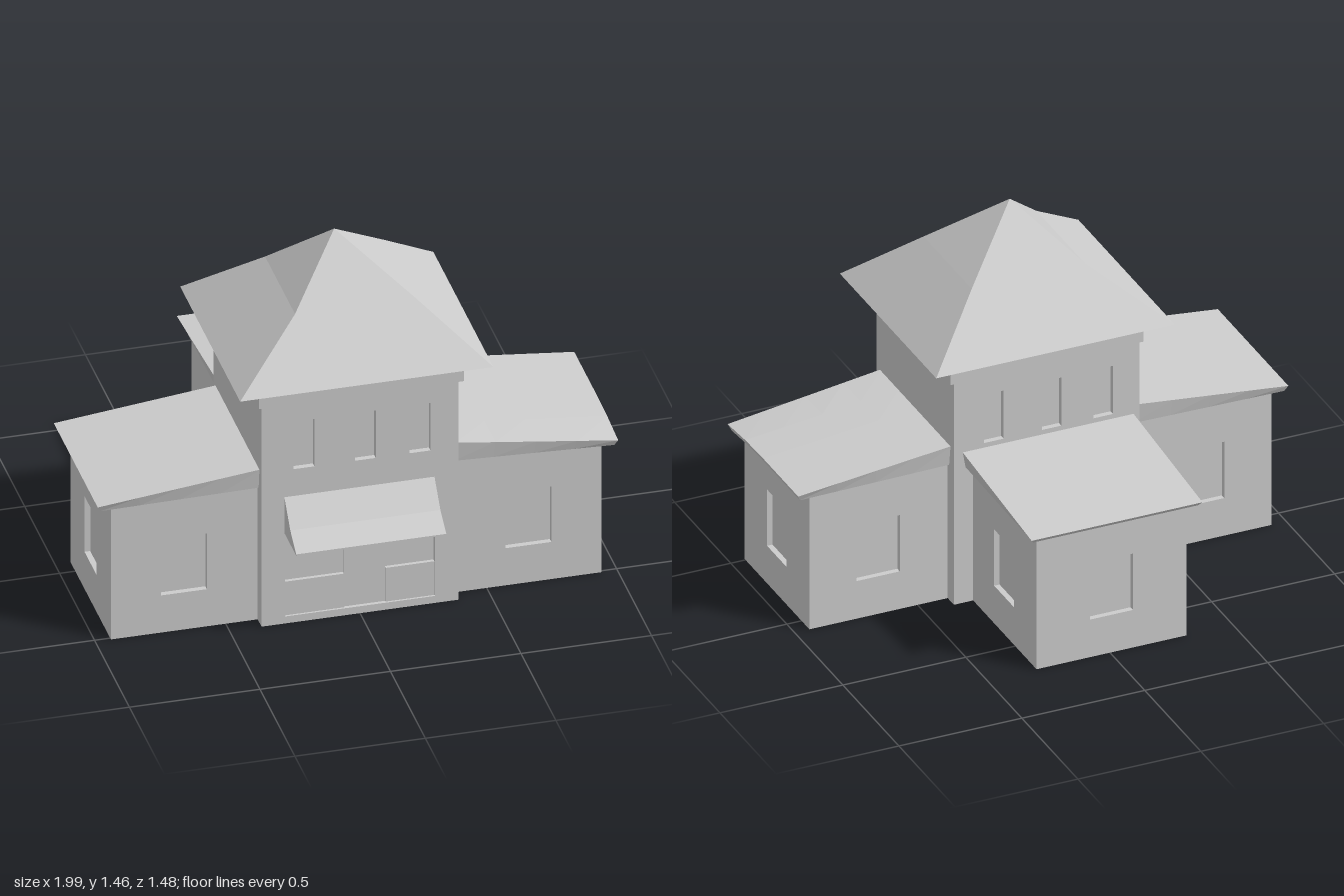
import * as THREE from 'three';

const grey = new THREE.MeshStandardMaterial({ color: 0xcccccc, flatShading: true, side: THREE.DoubleSide });

function add(parent, name, geometry, x = 0, y = 0, z = 0) {
  const mesh = new THREE.Mesh(geometry, grey);
  mesh.name = name;
  mesh.position.set(x, y, z);
  parent.add(mesh);
  return mesh;
}

// Box given by its low and high corners
function block(parent, name, [x0, y0, z0], [x1, y1, z1]) {
  return add(parent, name, new THREE.BoxGeometry(x1 - x0, y1 - y0, z1 - z0),
    (x0 + x1) / 2, (y0 + y1) / 2, (z0 + z1) / 2);
}

// Wall facing local +z, with openings [x, y, width, height] closed by recessed panes
function wall(parent, name, width, height, openings, x, z, turn) {
  const group = new THREE.Group();
  group.name = name;
  group.position.set(x, 0, z);
  group.rotation.y = turn;
  const shape = new THREE.Shape([[-1, 0], [1, 0], [1, 1], [-1, 1]]
    .map(([a, b]) => new THREE.Vector2(a * width / 2, b * height)));
  for (const [ox, oy, w, h] of openings) {
    shape.holes.push(new THREE.Path([[-1, 0], [-1, 1], [1, 1], [1, 0]]
      .map(([a, b]) => new THREE.Vector2(ox + a * w / 2, oy + b * h))));
    add(group, 'windowPane', new THREE.PlaneGeometry(w, h), ox, oy + h / 2, -0.022);
  }
  add(group, 'wallPanel', new THREE.ExtrudeGeometry(shape, { depth: 0.03, bevelEnabled: false }), 0, 0, -0.03);
  parent.add(group);
}

// Lean-to roof falling along local +x, its underside drawn in towards the walls
function leanRoof(parent, start, end, width, high, low, sag) {
  const length = end - start;
  const geo = new THREE.BoxGeometry(length, 1, width, 4, 1, 4);
  const p = geo.attributes.position;
  for (let i = 0; i < p.count; i++) {
    const s = p.getX(i) / length + 0.5;
    const t = p.getZ(i) / (width / 2);
    const droop = sag * s * Math.max(0, t) ** 2;
    const top = p.getY(i) > 0;
    const y = top ? high + (low - high) * s : 0.575 - 0.008 * s;
    const inset = top ? 0 : 0.012;
    p.setXYZ(i, start + s * (length - inset), y - droop, t * (width / 2 - inset));
  }
  geo.computeVertexNormals();
  return add(parent, 'wingRoof', geo);
}

// One-storey wing, built along local +x from the tower
function wing(name, { x, z, turn, start, end, width, windowAt, roofStart, roofEnd, roofWidth, high, low, sag }) {
  const group = new THREE.Group();
  group.name = name;
  group.position.set(x, 0, z);
  group.rotation.y = turn;
  const height = 0.575, length = end - start, mid = (start + end) / 2;
  const offset = windowAt - mid;
  wall(group, 'frontWall', length, height, [[offset, 0.16, 0.175, 0.24]], mid, width / 2, 0);
  wall(group, 'backWall', length, height, [[-offset, 0.16, 0.175, 0.24]], mid, -width / 2, Math.PI);
  wall(group, 'endWall', width, height, [[0, 0.16, 0.175, 0.24]], end, 0, Math.PI / 2);
  block(group, 'wingFloor', [start, 0, -width / 2], [end, 0.01, width / 2]);
  leanRoof(group, roofStart, roofEnd, roofWidth, high, low, sag);
  return group;
}

function tower() {
  const group = new THREE.Group();
  group.name = 'tower';
  const upper = [-0.215, 0.02, 0.23].map(x => [x, 0.66, 0.08, 0.205]);
  wall(group, 'frontWall', 0.755, 1, [...upper, [0, 0.03, 0.575, 0.36]], 0, 0.565, 0);
  wall(group, 'backWall', 0.755, 1, upper, 0, -0.125, Math.PI);
  for (const s of [-1, 1]) wall(group, 'sideWall', 0.69, 1, [], s * 0.3775, 0.22, s * Math.PI / 2);
  block(group, 'towerFloor', [-0.377, 0, -0.125], [0.377, 0.01, 0.565]);
  block(group, 'eavesBand', [-0.39, 0.945, -0.135], [0.395, 1.04, 0.575]);

  // Pyramid roof with a slight dent in its right slope
  const roof = new THREE.ConeGeometry(Math.SQRT1_2, 1, 4, 2).rotateY(Math.PI / 4).scale(0.97, 0.425, 0.86);
  const p = roof.attributes.position;
  for (let i = 0; i < p.count; i++) {
    if (Math.abs(p.getY(i)) < 0.01 && p.getX(i) < 0) p.setX(i, p.getX(i) + 0.025);
    if (p.getY(i) > 0.2) p.setX(i, p.getX(i) - 0.01);
  }
  roof.computeVertexNormals();
  add(group, 'towerRoof', roof, 0.003, 1.2475, 0.22);
  return group;
}

function entrance() {
  const group = new THREE.Group();
  group.name = 'entrance';
  block(group, 'door', [-0.06, 0.03, 0.54], [0.1, 0.39, 0.551]);
  block(group, 'lowerPanel', [-0.287, 0.03, 0.54], [-0.06, 0.175, 0.557]);
  block(group, 'lowerPanel', [0.1, 0.03, 0.54], [0.287, 0.175, 0.557]);
  // Awning profile, drawn with z along shape x
  const profile = new THREE.Shape([[0.56, 0.39], [0.735, 0.39], [0.735, 0.396], [0.65, 0.45], [0.56, 0.55]]
    .map(([z, y]) => new THREE.Vector2(z, y)));
  const awning = new THREE.ExtrudeGeometry(profile, { depth: 0.575, bevelEnabled: false }).rotateY(-Math.PI / 2);
  add(group, 'awning', awning, 0.285, 0, 0);
  return group;
}

export function createModel() {
  const model = new THREE.Group();
  model.name = 'house';
  model.add(tower(), entrance());
  const side = { x: 0, z: 0.22, start: 0.36, end: 0.94, width: 0.58, windowAt: 0.66,
    roofStart: 0.37, roofEnd: 0.997, roofWidth: 0.63, high: 0.66, low: 0.592 };
  model.add(wing('leftWing', { ...side, turn: 0, sag: 0.018 }));
  model.add(wing('rightWing', { ...side, turn: Math.PI, sag: 0 }));
  model.add(wing('backWing', { x: -0.006, z: 0, turn: Math.PI / 2, start: 0.11, end: 0.69, width: 0.61,
    windowAt: 0.4, roofStart: 0.11, roofEnd: 0.74, roofWidth: 0.695, high: 0.642, low: 0.583, sag: 0 }));
  return model;
}
